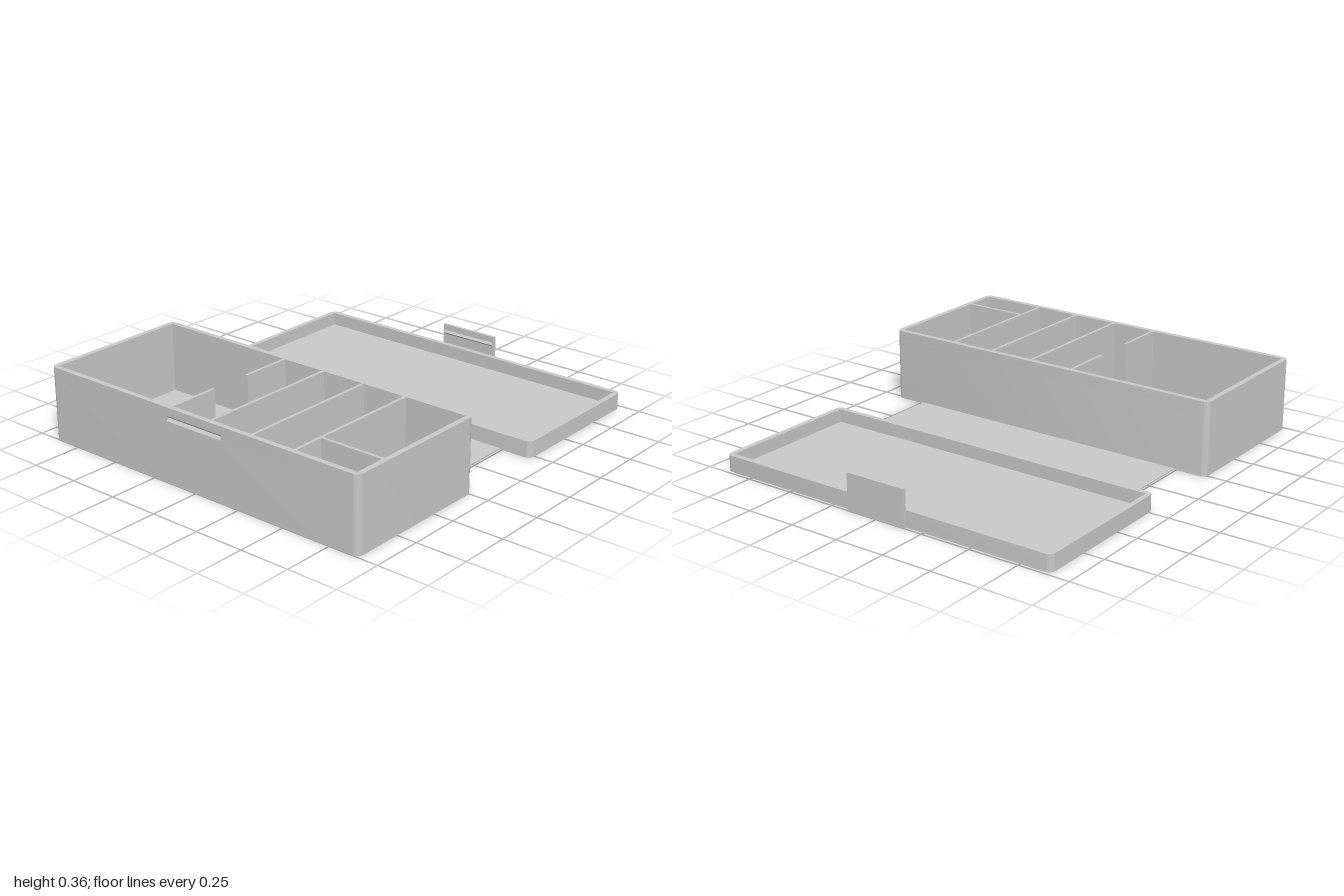
import * as THREE from 'three';
import { toCreasedNormals } from 'three/addons/utils/BufferGeometryUtils.js';

const W = 1.804, D = 0.77, WALL = 0.026, FLOOR = 0.015, R = 0.03;
const BASE_Z = 0.615, LID_Z = -0.6, BASE_H = 0.36, LID_H = 0.08;
const GROOVE = { half: 0.16, depth: 0.012, y0: 0.295, y1: 0.32 };

// Rounded tray outline; can carry a finger notch in its front edge
function outline(notched) {
  const x = W / 2, y = D / 2, s = new THREE.Shape();
  s.moveTo(-x + R, -y);
  if (notched) {
    s.lineTo(-GROOVE.half, -y);
    s.lineTo(-GROOVE.half, -y + GROOVE.depth);
    s.lineTo(GROOVE.half, -y + GROOVE.depth);
    s.lineTo(GROOVE.half, -y);
  }
  s.lineTo(x - R, -y);
  s.absarc(x - R, -y + R, R, -Math.PI / 2, 0);
  s.lineTo(x, y - R);
  s.absarc(x - R, y - R, R, 0, Math.PI / 2);
  s.lineTo(-x + R, y);
  s.absarc(-x + R, y - R, R, Math.PI / 2, Math.PI);
  s.lineTo(-x, -y + R);
  s.absarc(-x + R, -y + R, R, Math.PI, Math.PI * 1.5);
  return s;
}

export function createModel() {
  const model = new THREE.Group();
  model.name = 'foldingTrayBox';
  const plastic = new THREE.MeshStandardMaterial({ color: 0xc8c8c8 });
  plastic.name = 'light grey plastic';

  const add = (parent, name, geometry) => {
    const mesh = new THREE.Mesh(geometry, plastic);
    mesh.name = name;
    parent.add(mesh);
    return mesh;
  };
  const group = (name) => {
    const g = new THREE.Group();
    g.name = name;
    model.add(g);
    return g;
  };
  // Box given by its limits on each axis
  const block = (parent, name, x0, x1, y0, y1, z0, z1) =>
    add(parent, name, new THREE.BoxGeometry(x1 - x0, y1 - y0, z1 - z0))
      .position.set((x0 + x1) / 2, (y0 + y1) / 2, (z0 + z1) / 2);
  // Horizontal slice of a tray, solid or hollow
  const slice = (parent, name, zc, y0, y1, hollow, notched = false) => {
    const s = outline(notched);
    if (hollow) {
      const x = W / 2 - WALL, y = D / 2 - WALL;
      s.holes.push(new THREE.Path([[-x, -y], [-x, y], [x, y], [x, -y]].map(p => new THREE.Vector2(...p))));
    }
    const g = new THREE.ExtrudeGeometry(s, { depth: y1 - y0, bevelEnabled: false, curveSegments: 8 });
    g.rotateX(-Math.PI / 2).translate(0, y0, zc);
    add(parent, name, toCreasedNormals(g, 0.6));
  };
  // Bar along x with a cross-section of [z, y] points
  const bar = (parent, name, points, half) => {
    const s = new THREE.Shape(points.map(([z, y]) => new THREE.Vector2(-z, y)));
    const g = new THREE.ExtrudeGeometry(s, { depth: half * 2, bevelEnabled: false });
    g.rotateY(Math.PI / 2).translate(-half, 0, 0);
    add(parent, name, g);
  };

  // Deep base tray with a groove in its front wall
  const base = group('base');
  slice(base, 'baseFloor', BASE_Z, 0, FLOOR, false);
  slice(base, 'lowerWalls', BASE_Z, FLOOR, GROOVE.y0, true);
  slice(base, 'groovedWalls', BASE_Z, GROOVE.y0, GROOVE.y1, true, true);
  slice(base, 'upperWalls', BASE_Z, GROOVE.y1, BASE_H, true);
  const front = BASE_Z + D / 2, back = front - GROOVE.depth;
  const mid = (GROOVE.y0 + GROOVE.y1) / 2;
  bar(base, 'grooveLowerSlope', [[front, GROOVE.y0], [back, GROOVE.y0], [back, mid]], GROOVE.half);
  bar(base, 'grooveUpperSlope', [[front, GROOVE.y1], [back, mid], [back, GROOVE.y1]], GROOVE.half);

  // Compartment dividers, ending flush against the walls
  const dividers = group('dividers');
  const z0 = BASE_Z - D / 2 + WALL, z1 = front - WALL;
  for (const x of [0.076, 0.309, 0.543])
    block(dividers, 'divider', x, x + 0.015, FLOOR, BASE_H, z0, z1);
  // Divider with a wide gap in the middle
  block(dividers, 'notchedDividerBack', -0.157, -0.142, FLOOR, BASE_H, z0, 0.51);
  block(dividers, 'notchedDividerSill', -0.157, -0.142, FLOOR, 0.13, 0.51, 0.72);
  block(dividers, 'notchedDividerFront', -0.157, -0.142, FLOOR, BASE_H, 0.72, z1);
  // Small corner pocket with two ribs on its floor
  block(dividers, 'pocketWall', 0.558, W / 2 - WALL, FLOOR, BASE_H, 0.806, 0.821);
  for (const z of [0.858, 0.907])
    block(dividers, 'pocketRib', 0.578, 0.855, FLOOR, 0.04, z, z + 0.03);

  // Thin flexible sheet joining base and lid
  block(model, 'hingeSheet', -0.74, 0.74, 0, 0.006, -0.22, 0.235);

  // Shallow lid lying open
  const lid = group('lid');
  slice(lid, 'lidPanel', LID_Z, 0, FLOOR, false);
  slice(lid, 'lidWalls', LID_Z, FLOOR, LID_H, true);

  // Upright latch tab with a snap ridge
  const latch = group('latch');
  block(latch, 'latchTab', -0.157, 0.157, 0, 0.18, -1, -0.985);
  bar(latch, 'latchRidge', [[-0.986, 0.128], [-0.975, 0.139], [-0.986, 0.15]], 0.15);

  return model;
}
